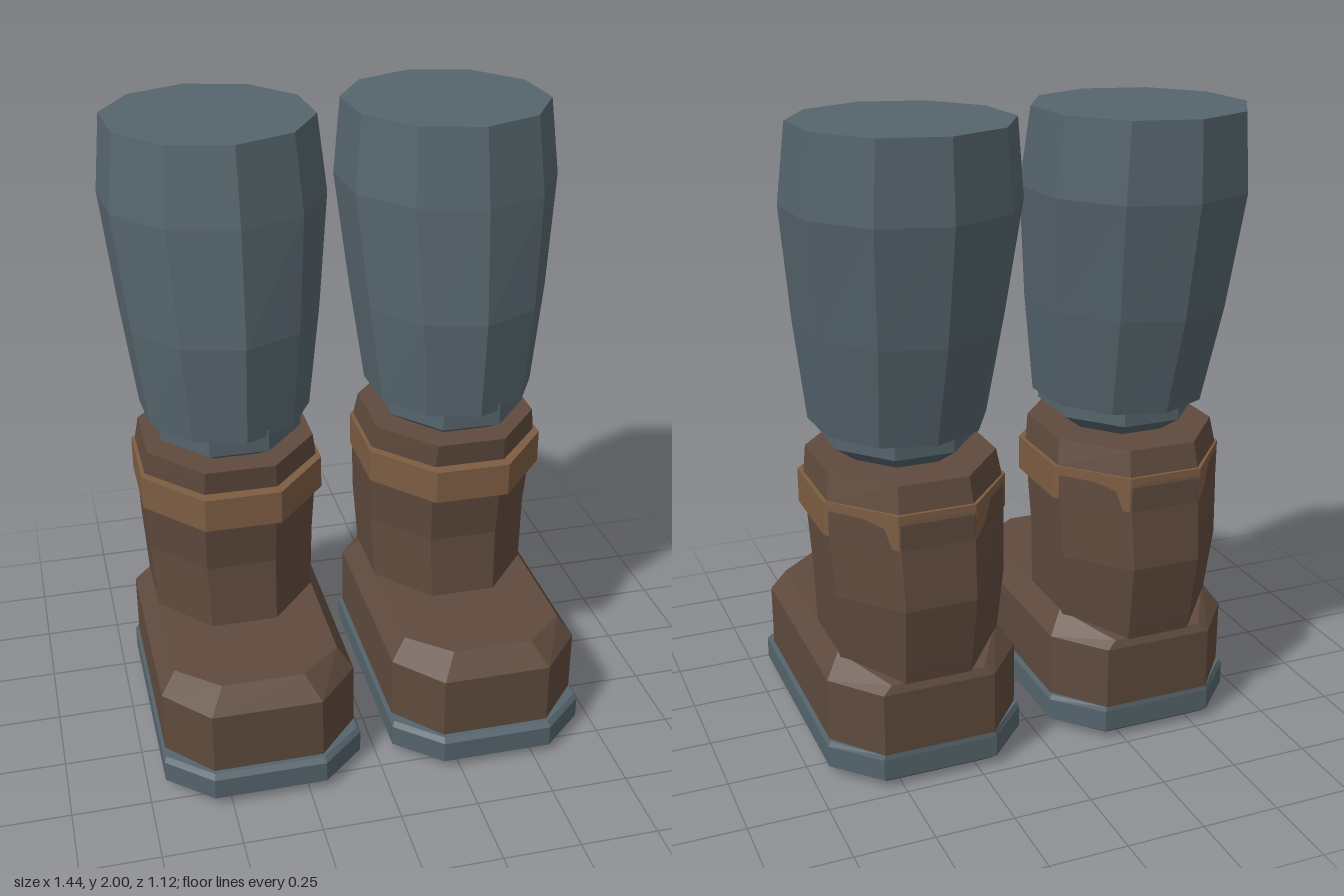
import * as THREE from 'three';

const slate = new THREE.MeshStandardMaterial({ color: 0x55646c });
slate.name = 'slate cloth';
const brown = new THREE.MeshStandardMaterial({ color: 0x5f4a3d });
brown.name = 'brown leather';
const tan = new THREE.MeshStandardMaterial({ color: 0x7d5d42 });
tan.name = 'tan leather';

// Closed faceted solid through rings of [x, y, z] points, bottom ring first
function loft(name, rings, material) {
  const pos = [];
  const quad = (a, b, c, d) => pos.push(...a, ...b, ...c, ...a, ...c, ...d);
  const n = rings[0].length;
  for (let r = 0; r < rings.length - 1; r++) {
    for (let i = 0; i < n; i++) {
      const j = (i + 1) % n;
      quad(rings[r][i], rings[r][j], rings[r + 1][j], rings[r + 1][i]);
    }
  }
  // caps are strips running from front to back
  const bottom = rings[0], top = rings[rings.length - 1];
  for (let i = 0; i < n / 2 - 1; i++) {
    quad(top[i], top[i + 1], top[n - 2 - i], top[n - 1 - i]);
    quad(bottom[n - 1 - i], bottom[n - 2 - i], bottom[i + 1], bottom[i]);
  }
  const geometry = new THREE.BufferGeometry();
  geometry.setAttribute('position', new THREE.Float32BufferAttribute(pos, 3));
  geometry.computeVertexNormals();
  const mesh = new THREE.Mesh(geometry, material);
  mesh.name = name;
  return mesh;
}

// Elliptical ring with n sides; start is the angle of the first corner from +z
function ring(n, start, y, rx, rz, cz) {
  return Array.from({ length: n }, (_, i) => {
    const a = start + (i * 2 * Math.PI) / n;
    return [rx * Math.sin(a), y, cz + rz * Math.cos(a)];
  });
}

// Octagon with a flat front, given by its half width and its front and back z
function octagon(y, half, front, back) {
  const k = 1 / Math.cos(Math.PI / 8);
  return ring(8, Math.PI / 8, y, half * k, ((front - back) / 2) * k, (front + back) / 2);
}

// Foot outline from its four +x corners, front to back, mirrored to -x
function outline(y, corners, yBack = y) {
  const side = corners.map(([x, z], i) => [x, i === 3 ? yBack : y, z]);
  const other = side.map(([x, h, z]) => [-x, h, z]).reverse();
  return [...side, ...other];
}

function createLeg(name) {
  const leg = new THREE.Group();
  leg.name = name;

  // trouser leg, leaning back towards the knee
  const trouser = [
    [1.08, 0.273, 0.305, -0.105],
    [1.4, 0.315, 0.36, -0.14],
    [1.76, 0.355, 0.37, -0.19],
    [2.0, 0.33, 0.343, -0.207],
  ];
  leg.add(loft('trouserLeg', trouser.map((t) => ring(10, 0.075, ...t)), slate));

  // tucked cuff between trouser and boot
  leg.add(loft('cuff', [
    octagon(0.975, 0.155, 0.08, -0.28),
    octagon(1.03, 0.225, 0.17, -0.355),
    octagon(1.1, 0.225, 0.17, -0.355),
  ], slate));

  // boot shaft
  leg.add(loft('bootShaft', [
    octagon(0.3, 0.255, 0.155, -0.44),
    octagon(0.39, 0.26, 0.15, -0.455),
    octagon(0.6, 0.272, 0.13, -0.485),
    octagon(0.79, 0.28, 0.151, -0.465),
    octagon(0.87, 0.28, 0.165, -0.464),
    octagon(0.9, 0.28, 0.17, -0.45),
    octagon(0.98, 0.268, 0.18, -0.43),
  ], brown));

  // strap, sunk into the shaft at the back
  leg.add(loft('strap', [
    octagon(0.79, 0.2925, 0.21, -0.46),
    octagon(0.9, 0.2925, 0.21, -0.46),
  ], tan));

  // boot foot with a bevelled upper edge, sagging at the heel
  const footSide = [[0.175, 0.535], [0.31, 0.385], [0.31, -0.3], [0.18, -0.457]];
  const footTop = [[0.13, 0.472], [0.262, 0.358], [0.262, -0.26], [0.15, -0.445]];
  leg.add(loft('bootFoot', [
    outline(0.1, footSide),
    outline(0.32, footSide),
    outline(0.39, footTop, 0.345),
  ], brown));

  // sole with bevelled edges
  const soleSide = [[0.18, 0.565], [0.32, 0.44], [0.32, -0.32], [0.185, -0.46]];
  const soleTop = [[0.175, 0.55], [0.312, 0.43], [0.312, -0.315], [0.18, -0.457]];
  const soleBottom = [[0.16, 0.525], [0.28, 0.42], [0.28, -0.3], [0.165, -0.425]];
  leg.add(loft('sole', [
    outline(0.003, soleBottom),
    outline(0.03, soleSide),
    outline(0.1, soleSide),
    outline(0.115, soleTop),
  ], slate));

  // leather tread under the sole
  const tread = soleBottom.map(([x, z]) => [x * 0.96, 0.05 + (z - 0.05) * 0.97]);
  leg.add(loft('tread', [outline(0, tread), outline(0.006, tread)], brown));
  return leg;
}

export function createModel() {
  const model = new THREE.Group();
  model.name = 'bootedLegs';
  for (const [name, x] of [['leftLeg', 0.375], ['rightLeg', -0.375]]) {
    const leg = createLeg(name);
    leg.position.x = x;
    model.add(leg);
  }
  return model;
}
